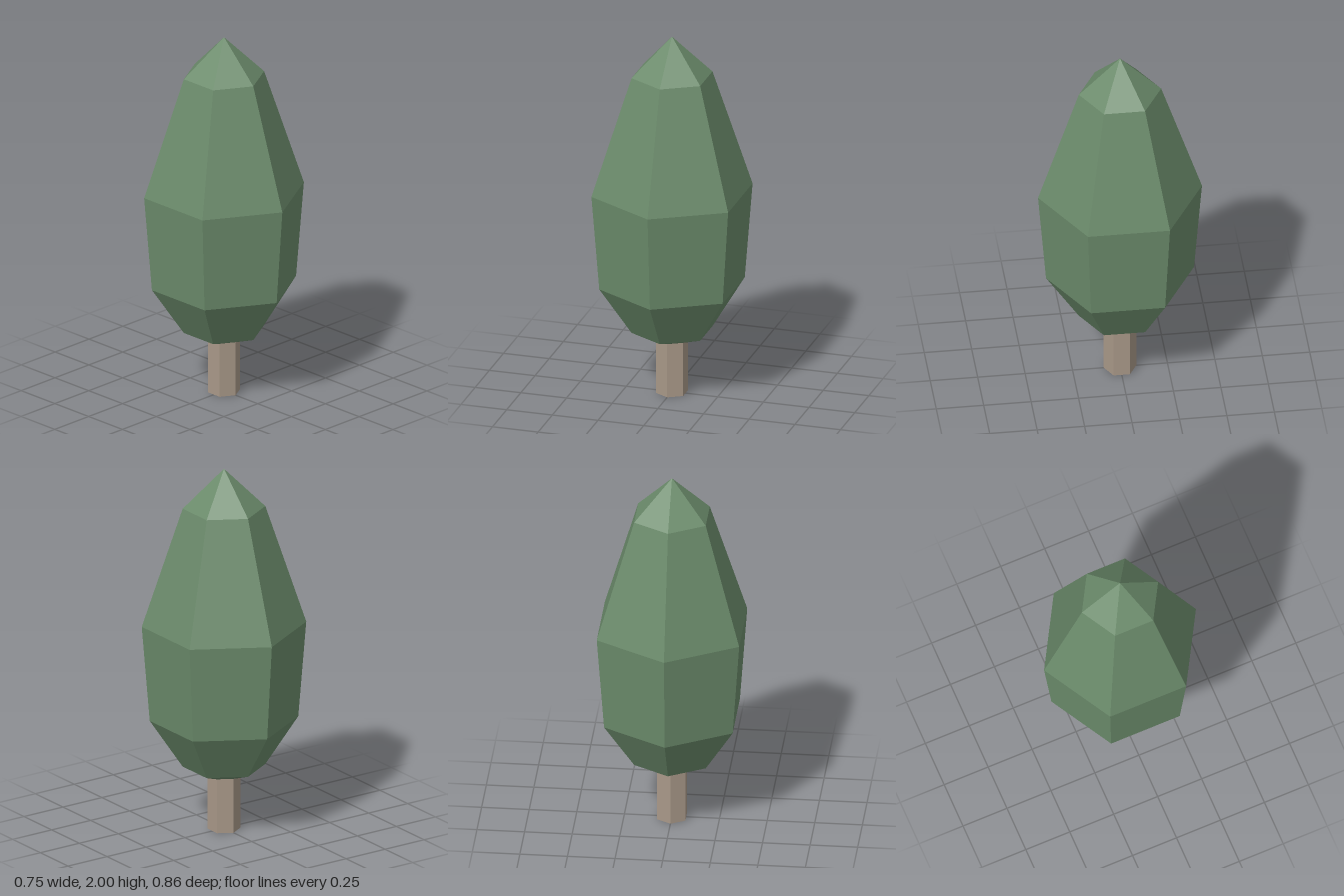
import * as THREE from 'three';

const SIDES = 6;

// Faceted six-sided solid turned from [radius, height] pairs, bottom to top
function faceted(name, profile, color, side = THREE.FrontSide) {
  const points = profile.map(([r, y]) => new THREE.Vector2(r, y));
  const material = new THREE.MeshStandardMaterial({ color, flatShading: true, side });
  const mesh = new THREE.Mesh(new THREE.LatheGeometry(points, SIDES), material);
  mesh.name = name;
  return mesh;
}

export function createModel() {
  const tree = new THREE.Group();
  tree.name = 'tree';

  // Trunk: open hexagonal tube
  tree.add(faceted('trunk', [[0.086, 0], [0.086, 0.3]], 0xa89888, THREE.DoubleSide));

  // Foliage: tapered crown rising from the trunk to a point
  tree.add(faceted('foliage', [
    [0.086, 0.3],
    [0.217, 0.35],
    [0.39, 0.61],
    [0.432, 1.135],
    [0.217, 1.785],
    [0, 2],
  ], 0x6b8b6b, THREE.DoubleSide));

  return tree;
}
